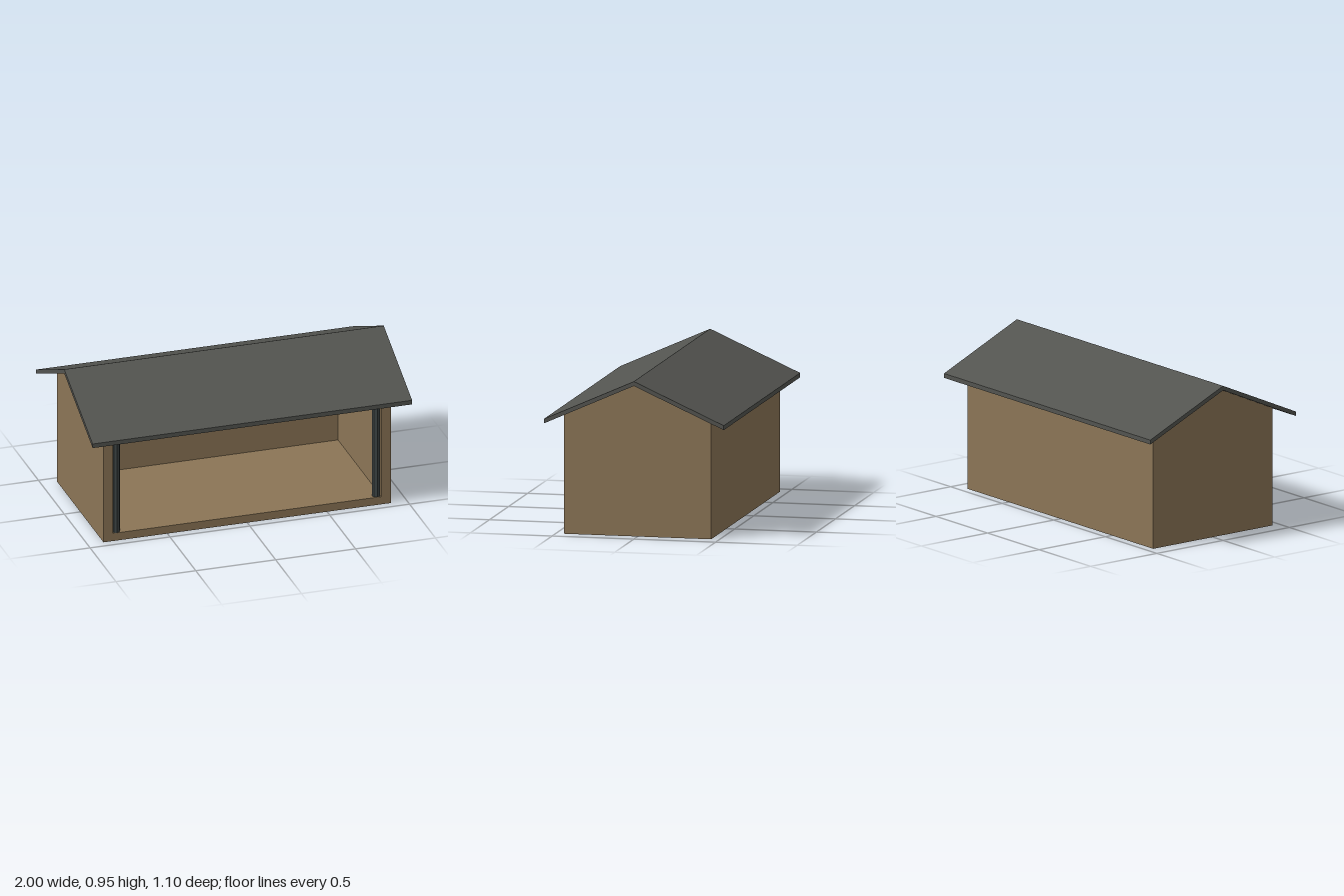
import * as THREE from 'three';

const wood = new THREE.MeshStandardMaterial({ name: 'wood', color: 0x8b7556 });
const roofing = new THREE.MeshStandardMaterial({ name: 'roofing', color: 0x535450 });
const metal = new THREE.MeshStandardMaterial({ name: 'darkMetal', color: 0x3d4444, flatShading: true });

const HALF_W = 0.9, HALF_D = 0.45, WALL = 0.06, FLOOR = 0.05;
const RIDGE = 0.924, SLOPE = 0.447; // underside of the roof
const underside = (z) => RIDGE - SLOPE * Math.abs(z);

function add(group, name, geometry, material, x = 0, y = 0, z = 0) {
  const mesh = new THREE.Mesh(geometry, material);
  mesh.name = name;
  mesh.position.set(x, y, z);
  group.add(mesh);
  return mesh;
}

// Extrudes a [z, y] outline along x, centred on x = 0
function extrudeAlongX(points, length) {
  const shape = new THREE.Shape(points.map(([z, y]) => new THREE.Vector2(-z, y)));
  const geometry = new THREE.ExtrudeGeometry(shape, { depth: length, bevelEnabled: false });
  return geometry.translate(0, 0, -length / 2).rotateY(Math.PI / 2);
}

export function createModel() {
  const model = new THREE.Group();
  model.name = 'openFrontShelter';
  const innerW = 2 * (HALF_W - WALL);

  // Floor slab and back wall, which stops short of the roof
  const backTop = 0.677;
  add(model, 'floor', new THREE.BoxGeometry(innerW, FLOOR, 2 * HALF_D), wood, 0, FLOOR / 2, 0);
  add(model, 'backWall', new THREE.BoxGeometry(innerW, backTop - FLOOR, WALL), wood,
    0, (backTop + FLOOR) / 2, -HALF_D + WALL / 2);

  // Gabled end walls and front posts
  const eave = underside(HALF_D);
  const gable = [[-HALF_D, 0], [HALF_D, 0], [HALF_D, eave], [0, RIDGE], [-HALF_D, eave]];
  const postR = 0.025, postZ = HALF_D - postR;
  const postH = underside(postZ) - FLOOR;
  for (const [side, s] of [['left', 1], ['right', -1]]) {
    add(model, side + 'GableWall', extrudeAlongX(gable, WALL), wood, s * (HALF_W - WALL / 2));
    add(model, side + 'Post', new THREE.CylinderGeometry(postR, postR, postH, 8), metal,
      s * (HALF_W - WALL - postR), FLOOR + postH / 2, postZ);
  }

  // Pitched roof with overhanging eaves
  const over = 0.55, thick = 0.027, low = underside(over);
  add(model, 'roof', extrudeAlongX([
    [-over, low], [0, RIDGE], [over, low],
    [over, low + thick], [0, RIDGE + thick], [-over, low + thick],
  ], 2), roofing);

  return model;
}
